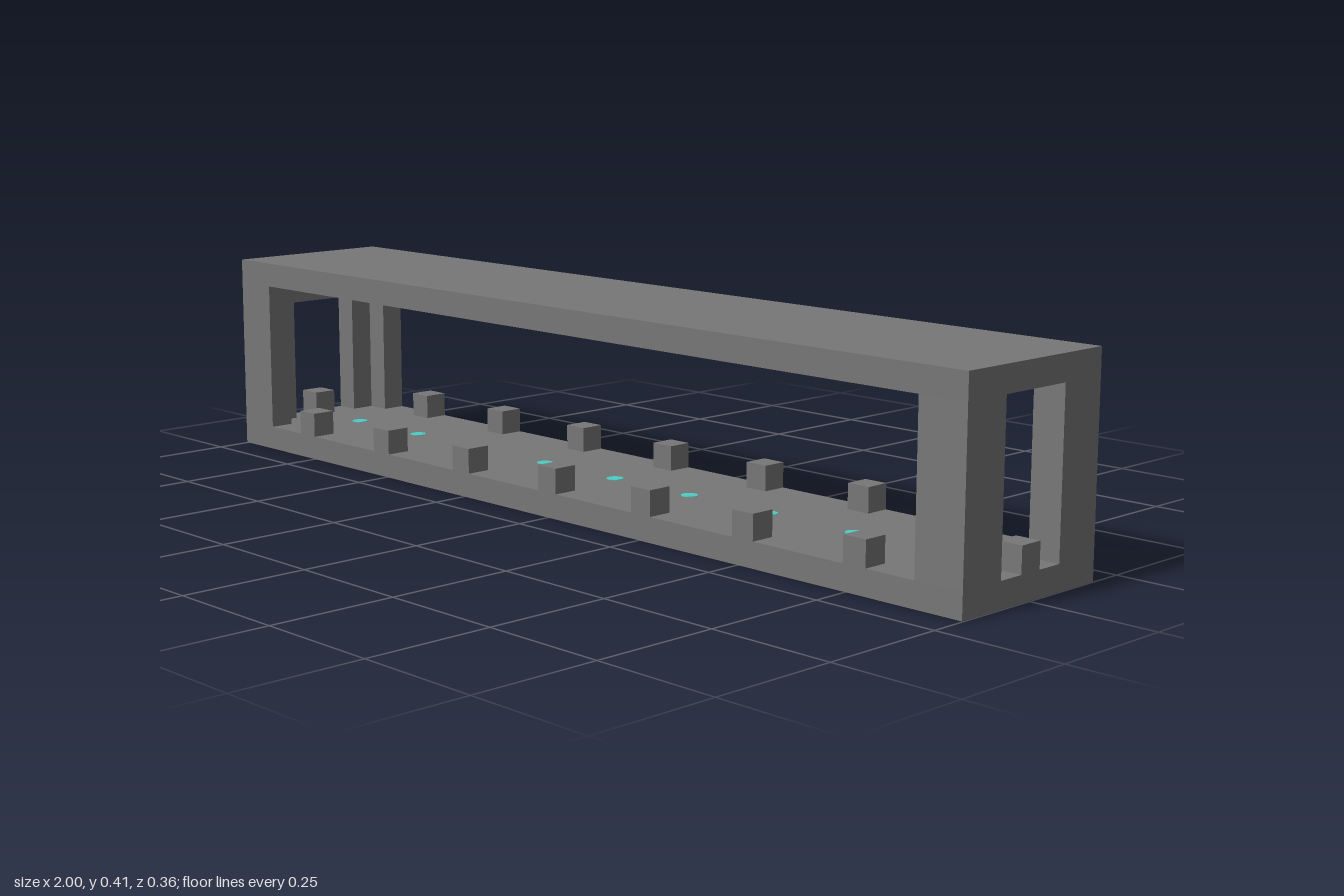
import * as THREE from 'three';

const L = 2, W = 0.36, H = 0.41, T = 0.05; // length, width, height, wall thickness

export function createModel() {
  const model = new THREE.Group();
  const grey = new THREE.MeshStandardMaterial({ color: 0x777777 });
  grey.name = 'grey shell';
  const teal = new THREE.MeshStandardMaterial({ color: 0x4ecdc4 });
  teal.name = 'teal stud';

  const add = (name, geometry, material, x, y, z) => {
    const mesh = new THREE.Mesh(geometry, material);
    mesh.name = name;
    mesh.position.set(x, y, z);
    model.add(mesh);
    return mesh;
  };

  // Floor and roof slabs
  const lift = 0.001;
  add('floor', new THREE.BoxGeometry(L, T - lift, W), grey, 0, (T + lift) / 2, 0);
  add('roof', new THREE.BoxGeometry(L, T, W), grey, 0, H - T / 2, 0);

  // L-shaped corner posts, turned or mirrored by drawing the outline per corner
  const leg = 0.1;
  for (const sx of [-1, 1]) {
    for (const sz of [-1, 1]) {
      const outline = [[0, 0], [leg, 0], [leg, T], [T, T], [T, leg], [0, leg]]
        .map(([a, b]) => new THREE.Vector2(sx * (L / 2 - a), -sz * (W / 2 - b)));
      const post = new THREE.ExtrudeGeometry(new THREE.Shape(outline), { depth: H - 2 * T, bevelEnabled: false });
      post.rotateX(-Math.PI / 2);
      add('cornerPost', post, grey, 0, T, 0);
    }
  }

  // Low lintel over one end opening only
  add('endLintel', new THREE.BoxGeometry(T, T, W - 2 * leg), grey, -L / 2 + T / 2, H - 1.5 * T, 0);

  // Small blocks along both long sides and one at each end
  const block = new THREE.BoxGeometry(T, T, T);
  for (const s of [-1, 1]) {
    for (let i = -3; i <= 3; i++) {
      add('sideBlock', block, grey, i * 0.257, 1.5 * T, s * (W / 2 - T / 2));
    }
    add('endBlock', block, grey, s * (L / 2 - T / 2), 1.5 * T, 0);
  }

  // Row of studs set through the floor
  const stud = new THREE.CylinderGeometry(0.017, 0.017, T + lift, 12);
  for (let i = -4; i <= 4; i++) {
    add('floorStud', stud, teal, i * 0.2056, (T + lift) / 2, 0);
  }

  return model;
}
